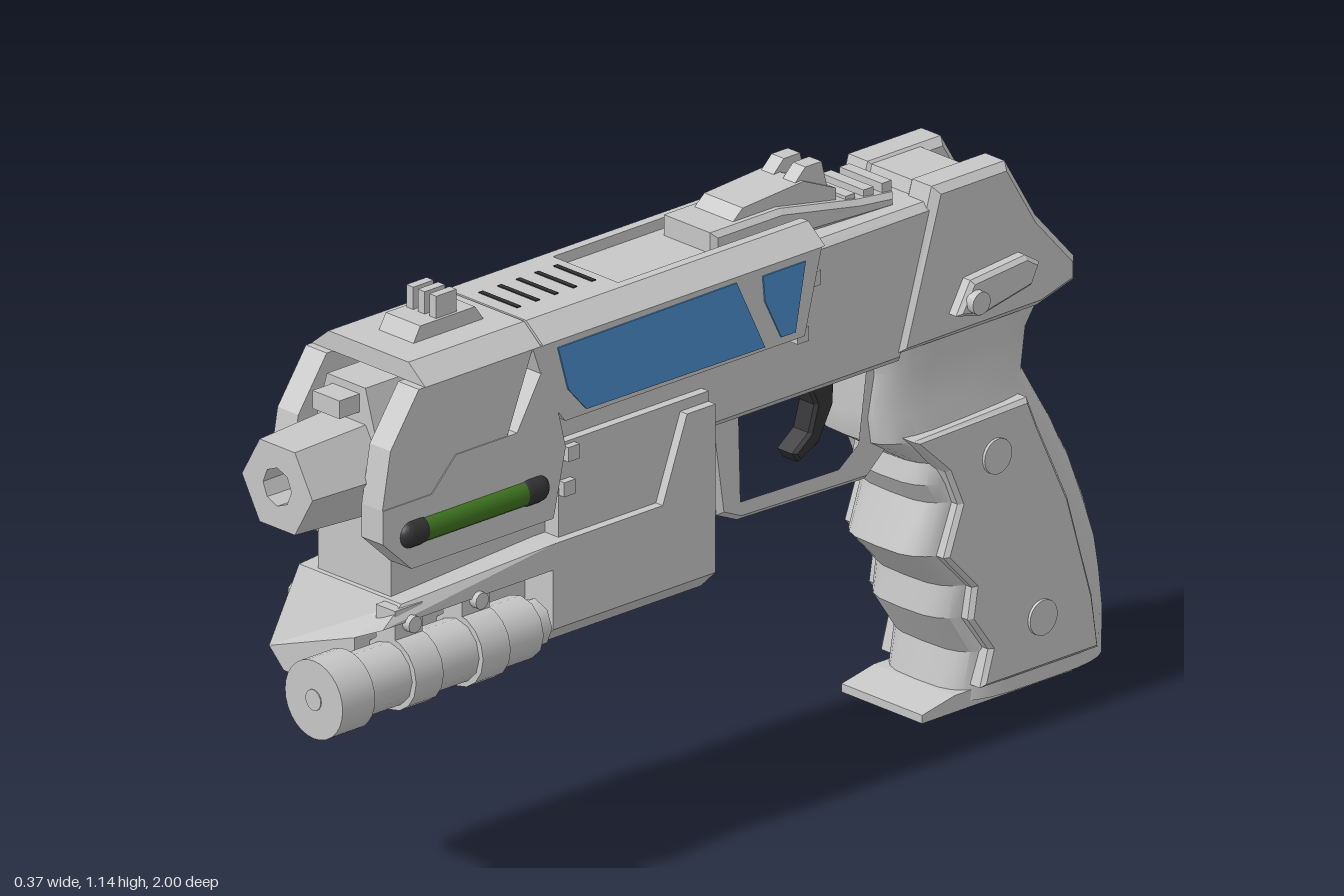
import * as THREE from 'three';
import { toCreasedNormals } from 'three/addons/utils/BufferGeometryUtils.js';

const mat = (name, color) => {
  const m = new THREE.MeshStandardMaterial({ color });
  m.name = name;
  return m;
};

export function createModel() {
  const root = new THREE.Group();
  root.name = 'toyBlaster';
  const body = new THREE.Group();
  body.name = 'body';
  body.position.x = -0.022;
  root.add(body);

  const grey = mat('light grey', 0xc6c6c6);
  const blue = mat('panel blue', 0x4a8ccb);
  const green = mat('cell green', 0x3f7420);
  const dark = mat('near black', 0x323234);

  const add = (name, geo, m = grey) => {
    const mesh = new THREE.Mesh(geo, m);
    mesh.name = name;
    body.add(mesh);
    return mesh;
  };
  const toShape = (pts, hole) => {
    const s = new THREE.Shape(pts.map(p => new THREE.Vector2(...p)));
    if (hole) s.holes.push(new THREE.Path(hole.map(p => new THREE.Vector2(...p))));
    return s;
  };
  // Side profile in (z, y), extruded from x0 to x1 with an inward bevel b
  const prism = (name, pts, x0, x1, b = 0, m = grey, hole) => {
    const depth = x1 - x0 - 2 * b;
    const g = new THREE.ExtrudeGeometry(toShape(pts, hole), {
      depth, bevelEnabled: b > 0, bevelThickness: b, bevelSize: b, bevelOffset: -b, bevelSegments: 1 });
    g.translate(0, 0, -depth / 2).rotateY(-Math.PI / 2).translate((x0 + x1) / 2, 0, 0);
    return add(name, g, m);
  };
  // The same plate on both sides
  const pair = (name, pts, x0, x1, b, m) => {
    prism(name + 'Left', pts, x0, x1, b, m);
    prism(name + 'Right', pts, -x1, -x0, b, m);
  };
  // Cross-section in (x, y), extruded from z0 to z1
  const along = (name, pts, z0, z1, hole) => {
    const g = new THREE.ExtrudeGeometry(toShape(pts, hole), { depth: z1 - z0, bevelEnabled: false });
    return add(name, g.translate(0, 0, z0));
  };
  const box = (name, x, y0, y1, z0, z1, w, m = grey) =>
    add(name, new THREE.BoxGeometry(w, y1 - y0, z1 - z0).translate(x, (y0 + y1) / 2, (z0 + z1) / 2), m);
  const cylX = (name, r, len, x, y, z, seg = 16) =>
    add(name, new THREE.CylinderGeometry(r, r, len, seg).rotateZ(Math.PI / 2).translate(x, y, z));
  const cylZ = (name, r, z0, z1, x, y, seg = 24, m = grey) =>
    add(name, new THREE.CylinderGeometry(r, r, z1 - z0, seg).rotateX(Math.PI / 2).translate(x, y, (z0 + z1) / 2), m);
  const ngon = (n, r, cy) => Array.from({ length: n }, (_, i) =>
    [r * Math.cos(i * 2 * Math.PI / n), cy + r * Math.sin(i * 2 * Math.PI / n)]);

  // Inner body and receiver
  prism('innerBody', [[0.78, 0.6], [0.78, 0.79], [0.62, 0.81], [0.62, 1.03], [-0.2, 1.03], [-0.2, 0.73], [0.03, 0.73], [0.03, 0.6]], -0.095, 0.095);
  prism('receiver', [[0.4, 0.73], [0.4, 0.9], [-0.1, 1.02], [-0.55, 1.02], [-0.47, 0.73]], -0.112, 0.112, 0.015);
  prism('midFrame', [[0.4, 0.6], [0.4, 0.82], [0.03, 0.82], [0.03, 0.6]], -0.13, 0.13);

  // Upper side plates with painted panels
  pair('sidePlate', [[0.48, 1.03], [-0.232, 1.03], [-0.19, 0.87], [0.4, 0.87], [0.44, 0.92]], 0.09, 0.148);
  pair('bluePanel', [[0.42, 1.017], [-0.02, 1.02], [-0.09, 0.877], [0.35, 0.88], [0.395, 0.93]], 0.147, 0.151, 0, blue);
  pair('bluePanelSmall', [[-0.085, 1.015], [-0.19, 1.015], [-0.165, 0.885], [-0.13, 0.885], [-0.09, 0.965]], 0.147, 0.151, 0, blue);
  for (const s of [-1, 1]) {
    for (const [z, y] of [[-0.22, 0.97], [-0.19, 0.87], [0.375, 0.8], [0.385, 0.735]])
      box('plateBolt', s * 0.128, y - 0.014, y + 0.014, z - 0.014, z + 0.014, 0.032);
  }

  // Chamfered roof: solid in front, rails around a sunken top panel behind
  const roof = [[-0.148, 1.03], [-0.104, 1.066], [0.104, 1.066], [0.148, 1.03]];
  along('frontRoof', roof, 0.46, 0.745);
  along('midRoof', roof, 0.21, 0.455);
  for (const s of [-1, 1])
    along('roofRail', [[s * 0.148, 1.03], [s * 0.104, 1.066], [s * 0.085, 1.066], [s * 0.085, 1.03]], -0.24, 0.21);
  box('topPanel', 0, 1.02, 1.045, -0.22, 0.21, 0.172);
  for (let i = 0; i < 5; i++)
    box('ventSlot', 0, 1.064, 1.068, 0.232 + i * 0.046, 0.242 + i * 0.046, 0.1, dark);

  // Front shroud cheeks and cell plates
  pair('noseCheek', [[0.83, 0.93], [0.76, 1.03], [0.48, 1.03], [0.55, 0.86], [0.68, 0.86], [0.73, 0.82], [0.85, 0.82]], 0.093, 0.147);
  pair('cellPlate', [[0.85, 0.82], [0.73, 0.82], [0.67, 0.88], [0.52, 0.88], [0.46, 0.98], [0.42, 0.9], [0.4, 0.82], [0.43, 0.69], [0.78, 0.69], [0.85, 0.755]], 0.093, 0.149);
  for (const s of [-1, 1]) {
    const x = s * 0.138;
    cylZ('energyCell', 0.026, 0.49, 0.76, x, 0.757, 16, green);
    for (const z of [0.48, 0.77])
      add('cellEnd', new THREE.CapsuleGeometry(0.028, 0.025, 6, 16).rotateX(Math.PI / 2).translate(x, 0.757, z), dark);
  }

  // Hexagonal muzzle, tapered toward the front, and the wedge above it
  const muzzle = along('muzzle', ngon(6, 0.112, 0), 0.6, 0.97, ngon(8, 0.045, 0));
  const mp = muzzle.geometry.attributes.position;
  for (let i = 0; i < mp.count; i++)
    if (mp.getZ(i) > 0.9) mp.setXY(i, mp.getX(i) * 0.82, mp.getY(i) * 0.82);
  muzzle.geometry.computeVertexNormals();
  muzzle.position.y = 0.857;
  cylZ('muzzleCore', 0.06, 0.6, 0.9, 0, 0.857, 8);
  along('muzzleWedge', [[-0.085, 0.9], [-0.05, 1.015], [0.05, 1.015], [0.085, 0.9]], 0.6, 0.8);
  box('muzzleBlock', 0, 0.965, 1.0, 0.78, 0.85, 0.07);

  // Lower front block, with a pocket for the light on its left
  along('lowerBlockRear', [[-0.148, 0.475], [-0.11, 0.438], [0.11, 0.438], [0.148, 0.475], [0.148, 0.64], [-0.148, 0.64]], 0.03, 0.43);
  const front = along('lowerBlockFront', [[-0.148, 0.475], [-0.11, 0.438], [0.06, 0.438], [0.075, 0.46], [0.075, 0.555], [0.148, 0.59], [0.148, 0.64], [-0.148, 0.64]], 0.43, 0.85);
  const fp = front.geometry.attributes.position;
  for (let i = 0; i < fp.count; i++)
    if (fp.getZ(i) > 0.8 && fp.getY(i) > 0.62) fp.setXYZ(i, fp.getX(i) * 0.9, 0.62, 0.79);
  front.geometry.computeVertexNormals();
  pair('lowerBlockTail', [[0.16, 0.64], [0.1, 0.8], [0.03, 0.8], [0.03, 0.64]], 0.09, 0.148);
  box('lowerBlockWeb', 0, 0.6, 0.8, 0.03, 0.12, 0.2);
  prism('lowerSidePanel', [[0.8, 0.48], [0.8, 0.57], [0.76, 0.605], [0.42, 0.605], [0.36, 0.55], [0.4, 0.48]], -0.16, -0.14, 0.008);

  // Tactical light with clamps
  const lx = 0.127, ly = 0.492;
  cylZ('lightHead', 0.075, 0.92, 1.0, lx, ly, 28);
  cylZ('lightLens', 0.02, 0.99, 1.002, lx, ly, 16);
  cylZ('lightBody', 0.06, 0.49, 0.925, lx, ly, 12);
  cylZ('lightTail', 0.045, 0.455, 0.5, lx, ly, 8);
  for (const z of [0.615, 0.78]) {
    cylZ('lightClamp', 0.07, z - 0.034, z + 0.034, lx, ly, 16);
    box('clampLug', lx - 0.01, 0.55, 0.615, z - 0.034, z + 0.034, 0.05);
    cylX('clampBolt', 0.016, 0.02, lx + 0.022, 0.585, z, 12);
  }

  // Sights
  prism('frontSightBase', [[0.68, 1.06], [0.66, 1.095], [0.525, 1.095], [0.5, 1.06]], -0.045, 0.045);
  for (const x of [-0.03, 0, 0.03]) box('frontSightPost', x, 1.09, 1.138, 0.565, 0.615, 0.018);
  prism('rearSightBase', [[-0.04, 1.03], [-0.04, 1.085], [-0.21, 1.085], [-0.4, 1.05], [-0.49, 1.04], [-0.49, 1.01]], -0.07, 0.07, 0.01);
  prism('rearSightRamp', [[-0.1, 1.08], [-0.13, 1.105], [-0.28, 1.115], [-0.36, 1.08], [-0.36, 1.04]], -0.05, 0.05);
  for (const s of [-1, 1])
    prism('rearSightPost', [[-0.25, 1.1], [-0.29, 1.138], [-0.33, 1.138], [-0.35, 1.06]], s * 0.028 - 0.016, s * 0.028 + 0.016);
  for (const z of [-0.39, -0.435, -0.48]) box('sightTooth', 0, 1.03, 1.06, z - 0.012, z + 0.012, 0.11);

  // Rear block with a hammer slot between its halves
  pair('rearBlock', [[-0.54, 1.05], [-0.72, 1.05], [-0.795, 0.925], [-0.89, 0.82], [-0.89, 0.775], [-0.8, 0.75], [-0.45, 0.75]], 0.044, 0.122, 0.014);
  prism('hammerSlot', [[-0.545, 1.045], [-0.665, 1.045], [-0.68, 0.93], [-0.79, 0.88], [-0.885, 0.8], [-0.885, 0.775], [-0.8, 0.75], [-0.45, 0.75]], -0.06, 0.06);
  prism('safetyLever', [[-0.57, 0.8], [-0.605, 0.86], [-0.74, 0.872], [-0.775, 0.85], [-0.755, 0.81], [-0.63, 0.785]], 0.11, 0.148, 0.008);
  cylX('safetyPivot', 0.022, 0.05, 0.138, 0.82, -0.612);

  // Trigger and guard
  prism('triggerGuard', [[-0.035, 0.74], [-0.065, 0.53], [-0.115, 0.508], [-0.43, 0.5], [-0.5, 0.56], [-0.5, 0.74]], -0.06, 0.06, 0.01, grey,
    [[-0.1, 0.72], [-0.105, 0.535], [-0.36, 0.53], [-0.415, 0.57], [-0.435, 0.72]]);
  prism('trigger', [[-0.3, 0.74], [-0.335, 0.66], [-0.32, 0.61], [-0.28, 0.58], [-0.295, 0.56], [-0.345, 0.585], [-0.38, 0.65], [-0.385, 0.74]], -0.025, 0.025, 0.006, dark);

  // Grip, lofted from rounded rows: height, front z, back z, half width
  const rows = [
    [0.03, -0.60, -0.995, 0.125], [0.12, -0.62, -0.993, 0.128], [0.2, -0.565, -0.985, 0.13],
    [0.26, -0.575, -0.973, 0.13], [0.335, -0.505, -0.95, 0.13], [0.43, -0.54, -0.91, 0.128],
    [0.47, -0.515, -0.888, 0.127], [0.51, -0.525, -0.868, 0.125], [0.57, -0.43, -0.835, 0.118],
    [0.62, -0.42, -0.81, 0.105], [0.7, -0.435, -0.825, 0.1], [0.79, -0.42, -0.88, 0.112]];
  const n = 28, pos = [], idx = [];
  const soft = v => Math.sign(v) * Math.pow(Math.abs(v), 0.55);
  for (const [y, zf, zb, w] of rows)
    for (let j = 0; j < n; j++) {
      const a = j * 2 * Math.PI / n;
      pos.push(w * soft(Math.cos(a)), y, (zf + zb) / 2 + (zf - zb) / 2 * soft(Math.sin(a)));
    }
  const centre = pos.push(0, rows[0][0], -0.8) / 3 - 1;
  for (let j = 0; j < n; j++) {
    const k = (j + 1) % n;
    idx.push(centre, j, k);
    for (let i = 0; i < rows.length - 1; i++) {
      const a = i * n + j, b = i * n + k;
      idx.push(a, a + n, b, b, a + n, b + n);
    }
  }
  const grip = new THREE.BufferGeometry();
  grip.setAttribute('position', new THREE.Float32BufferAttribute(pos, 3));
  grip.setIndex(idx);
  add('grip', toCreasedNormals(grip, 0.5));

  // Grip panels, screws and base
  pair('gripPanel', [[-0.475, 0.58], [-0.755, 0.59], [-0.78, 0.53], [-0.855, 0.37], [-0.915, 0.165], [-0.93, 0.06], [-0.64, 0.06], [-0.66, 0.13],
    [-0.61, 0.2], [-0.62, 0.26], [-0.55, 0.335], [-0.585, 0.43], [-0.555, 0.5]], 0.09, 0.136, 0.008);
  for (const s of [-1, 1])
    for (const [y, z] of [[0.502, -0.673], [0.16, -0.785]]) cylX('gripScrew', 0.034, 0.03, s * 0.127, y, z, 20);
  prism('gripBase', [[-0.52, 0.018], [-0.52, 0.034], [-0.6, 0.05], [-0.87, 0.05], [-0.89, 0.018]], -0.105, 0.105);
  box('baseCatch', 0, 0, 0.035, -0.9, -0.85, 0.12);

  return root;
}
